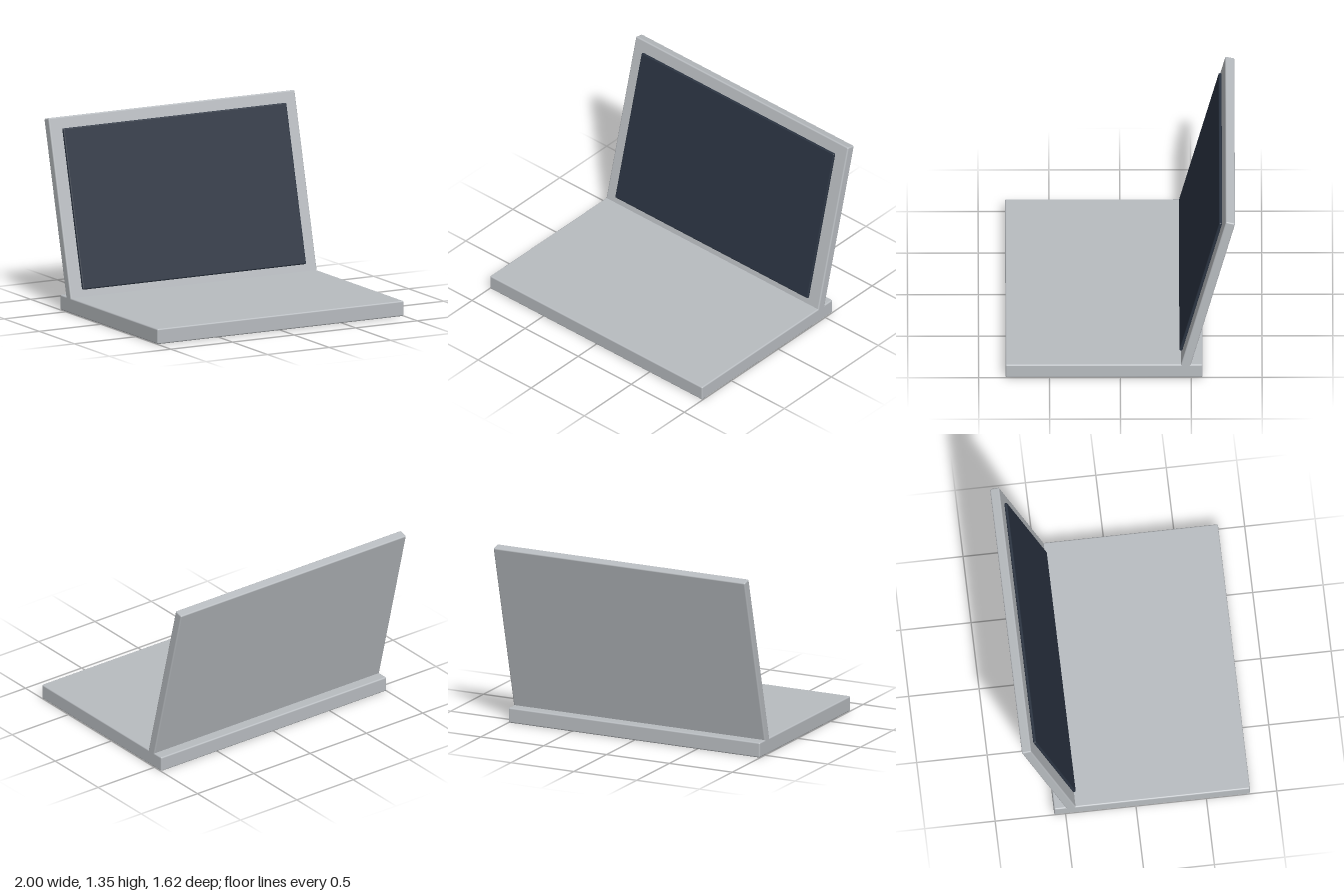
import * as THREE from 'three';
import { RoundedBoxGeometry } from 'three/addons/geometries/RoundedBoxGeometry.js';

const silver = new THREE.MeshStandardMaterial({ name: 'silver', color: 0xb8bcc0 });
const darkGlass = new THREE.MeshStandardMaterial({ name: 'dark glass', color: 0x2a3341 });

// A slab with softly rounded edges
function slab(name, [w, h, d], radius, material) {
  const mesh = new THREE.Mesh(new RoundedBoxGeometry(w, h, d, 3, radius), material);
  mesh.name = name;
  return mesh;
}

export function createModel() {
  const model = new THREE.Group();
  model.name = 'laptop';

  // Flat base
  const base = slab('base', [2, 0.11, 1.39], 0.01, silver);
  base.position.set(0, 0.055, 0.115);
  model.add(base);

  // Lid leaning back, its lower edge sunk into the base
  const lid = new THREE.Group();
  lid.name = 'lid';
  lid.position.set(0, 0.699, -0.6135);
  lid.rotation.x = -0.25;
  lid.add(slab('lidShell', [2, 1.33, 0.068], 0.01, silver));

  // Screen panel standing just clear of the lid
  const screen = slab('screen', [1.814, 1.147, 0.022], 0.009, darkGlass);
  screen.position.set(0, 0.007, 0.0495);
  lid.add(screen);
  model.add(lid);

  return model;
}
